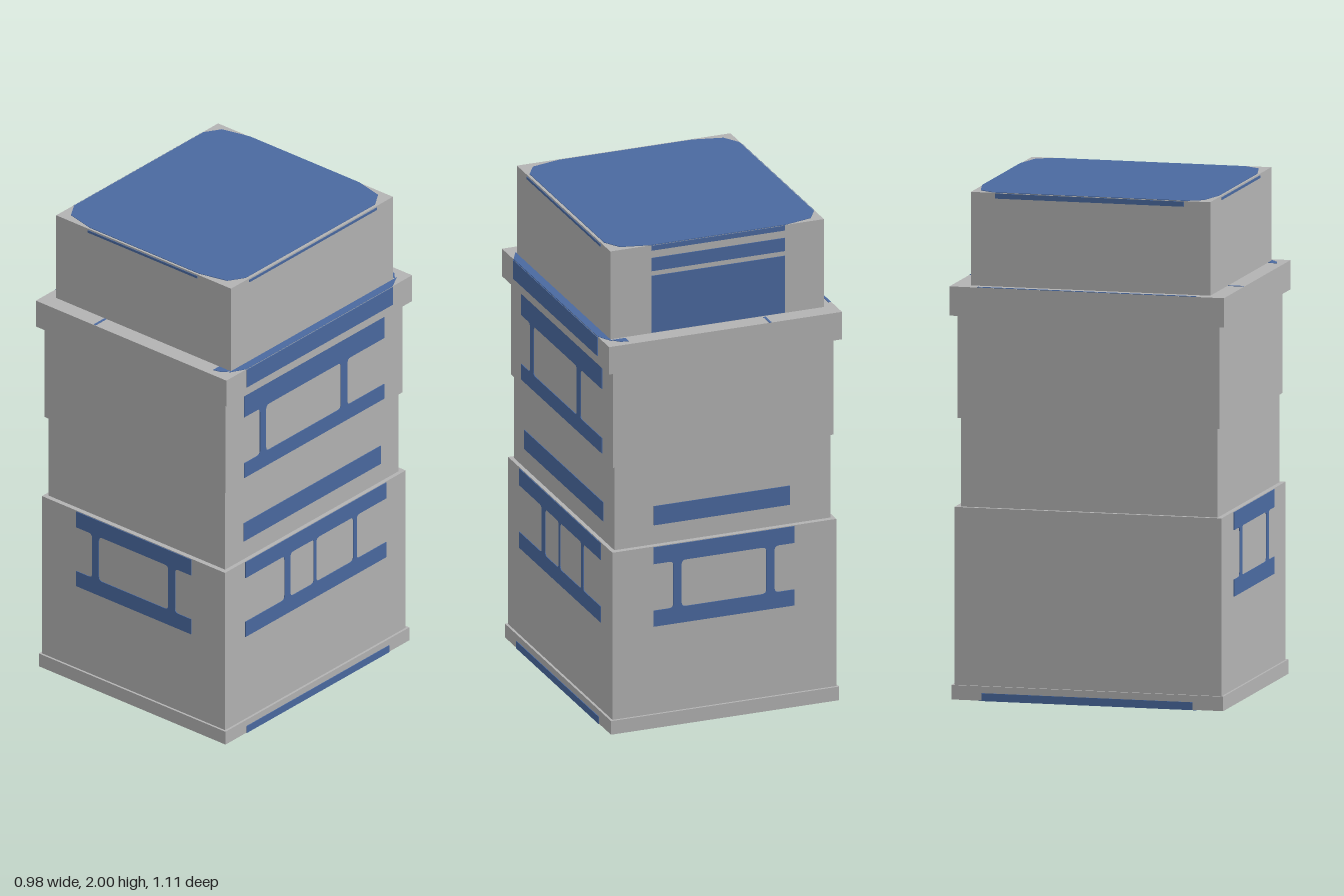
import * as THREE from 'three';

const THICK = 0.003;

export function createModel() {
  const model = new THREE.Group();
  model.name = 'steppedTower';
  const grey = new THREE.MeshStandardMaterial({ color: 0xb2b2b2 });
  grey.name = 'wall grey';
  const blue = new THREE.MeshStandardMaterial({ color: 0x4a699f });
  blue.name = 'panel blue';

  const add = (parent, geometry, material, name) => {
    const mesh = new THREE.Mesh(geometry, material);
    mesh.name = name;
    parent.add(mesh);
    return mesh;
  };

  // Stacked tiers: name, x range, y range, z range
  const tiers = [
    ['base', -0.48, 0.477, 0.003, 0.06, -0.547, 0.549],
    ['lowerTier', -0.472, 0.467, 0.06, 0.76, -0.537, 0.54],
    ['middleTier', -0.456, 0.45, 0.76, 1.11, -0.515, 0.52],
    ['upperTier', -0.466, 0.46, 1.11, 1.515, -0.525, 0.53],
    ['collar', -0.49, 0.487, 1.515, 1.63, -0.552, 0.555],
    ['topTier', -0.444, 0.452, 1.63, 1.998, -0.478, 0.487],
  ];
  const limits = {};
  for (const [name, x0, x1, y0, y1, z0, z1] of tiers) {
    const box = add(model, new THREE.BoxGeometry(x1 - x0, y1 - y0, z1 - z0), grey, name);
    box.position.set((x0 + x1) / 2, (y0 + y1) / 2, (z0 + z1) / 2);
    limits[name] = { front: z1, back: -z0, right: x1, left: -x0 };
  }

  // One group per wall: local x runs to the right when looking at that wall
  const walls = {};
  const turns = { front: 0, right: Math.PI / 2, back: Math.PI, left: -Math.PI / 2 };
  for (const [side, turn] of Object.entries(turns)) {
    walls[side] = new THREE.Group();
    walls[side].name = side + 'WallPanels';
    walls[side].rotation.y = turn;
    model.add(walls[side]);
  }

  const extrude = (shape) =>
    new THREE.ExtrudeGeometry(shape, { depth: THICK, bevelEnabled: false, curveSegments: 4 });

  // Plain horizontal strip on a wall
  function strip(side, tier, u0, u1, y0, y1, name) {
    const plate = add(walls[side], new THREE.BoxGeometry(u1 - u0, y1 - y0, THICK), blue, name);
    plate.position.set((u0 + u1) / 2, (y0 + y1) / 2, limits[tier][side] + THICK / 2);
  }

  // Two bars joined by posts, with rounded window corners
  function windowFrame(side, tier, u0, u1, [y0, y1, y2, y3], posts) {
    const r = 0.018;
    const first = posts[0][0];
    const last = posts[posts.length - 1][1];
    const s = new THREE.Shape();
    s.moveTo(u0, y0);
    s.lineTo(u1, y0);
    s.lineTo(u1, y1);
    s.lineTo(last + r, y1);
    s.quadraticCurveTo(last, y1, last, y1 + r);
    s.lineTo(last, y2 - r);
    s.quadraticCurveTo(last, y2, last + r, y2);
    s.lineTo(u1, y2);
    s.lineTo(u1, y3);
    s.lineTo(u0, y3);
    s.lineTo(u0, y2);
    s.lineTo(first - r, y2);
    s.quadraticCurveTo(first, y2, first, y2 - r);
    s.lineTo(first, y1 + r);
    s.quadraticCurveTo(first, y1, first - r, y1);
    s.lineTo(u0, y1);
    s.closePath();
    for (let i = 0; i + 1 < posts.length; i++) {
      const a = posts[i][1];
      const b = posts[i + 1][0];
      const h = new THREE.Path();
      h.moveTo(a + r, y1);
      h.quadraticCurveTo(a, y1, a, y1 + r);
      h.lineTo(a, y2 - r);
      h.quadraticCurveTo(a, y2, a + r, y2);
      h.lineTo(b - r, y2);
      h.quadraticCurveTo(b, y2, b, y2 - r);
      h.lineTo(b, y1 + r);
      h.quadraticCurveTo(b, y1, b - r, y1);
      h.closePath();
      s.holes.push(h);
    }
    add(walls[side], extrude(s), blue, 'windowFrame').position.z = limits[tier][side];
  }

  // Window frames
  const lowRows = [0.425, 0.492, 0.687, 0.757];
  for (const side of ['front', 'back']) {
    windowFrame(side, 'lowerTier', -0.295, 0.295, lowRows, [[-0.212, -0.178], [0.178, 0.212]]);
  }
  windowFrame('right', 'lowerTier', -0.42, 0.42, lowRows,
    [[-0.187, -0.153], [-0.012, 0.002], [0.222, 0.242]]);
  windowFrame('right', 'upperTier', -0.42, 0.415, [1.13, 1.195, 1.4, 1.513],
    [[-0.325, -0.29], [0.157, 0.195]]);

  // Strips
  strip('right', 'collar', -0.435, 0.435, 1.55, 1.628, 'collarStrip');
  strip('right', 'middleTier', -0.41, 0.405, 0.84, 0.92, 'middleStrip');
  strip('back', 'middleTier', -0.285, 0.285, 0.84, 0.92, 'middleStrip');
  strip('right', 'base', -0.425, 0.425, 0.003, 0.033, 'baseStrip');
  strip('left', 'base', -0.425, 0.425, 0.003, 0.033, 'baseStrip');
  strip('back', 'topTier', -0.28, 0.28, 1.89, 1.945, 'topStrip');
  strip('back', 'topTier', -0.28, 0.28, 1.632, 1.87, 'rearPanel');
  strip('front', 'topTier', -0.28, 0.28, 1.982, 1.992, 'roofEdge');
  strip('right', 'topTier', -0.38, 0.38, 1.982, 1.992, 'roofEdge');
  strip('back', 'topTier', -0.28, 0.28, 1.976, 1.996, 'roofEdge');
  strip('left', 'topTier', -0.38, 0.38, 1.976, 1.996, 'roofEdge');

  // Horizontal plate from a plan outline given as [x, z], upper face at y + THICK
  function flatPlate(points, y, name) {
    const shape = new THREE.Shape(points.map(([x, z]) => new THREE.Vector2(x, -z)));
    const mesh = add(model, extrude(shape), blue, name);
    mesh.rotation.x = -Math.PI / 2;
    mesh.position.y = y;
    return mesh;
  }

  // Roof and floor: rectangles with faceted corners
  const quarter = [[0.44, 0.385], [0.4, 0.45], [0.28, 0.478]];
  const mirrored = (sx, sz) => quarter.map(([x, z]) => [x * sx, z * sz]);
  const outline = [
    ...mirrored(1, 1), ...mirrored(-1, 1).reverse(),
    ...mirrored(-1, -1), ...mirrored(1, -1).reverse(),
  ];
  flatPlate(outline, 1.997, 'roofPanel');
  flatPlate(outline.map(([x, z]) => [x * 1.07, z * 1.12]), 0, 'floorPanel');

  // Patches on the collar ledge
  const ledge = 1.63 - THICK / 2;
  flatPlate([[0.453, -0.5], [0.487, -0.435], [0.487, 0.435], [0.453, 0.5]], ledge, 'ledgePanel');
  flatPlate([[-0.489, -0.44], [-0.478, -0.44], [-0.478, 0.44], [-0.489, 0.44]], ledge, 'ledgePanel');
  for (const s of [-1, 1]) {
    flatPlate([[0.393, 0.489 * s], [0.393, 0.525 * s], [0.425, 0.518 * s], [0.453, 0.489 * s]],
      ledge, 'ledgeCorner');
    flatPlate([[-0.195, 0.489 * s], [-0.195, 0.552 * s], [-0.185, 0.552 * s], [-0.185, 0.489 * s]],
      ledge, 'ledgeMark');
  }
  return model;
}
